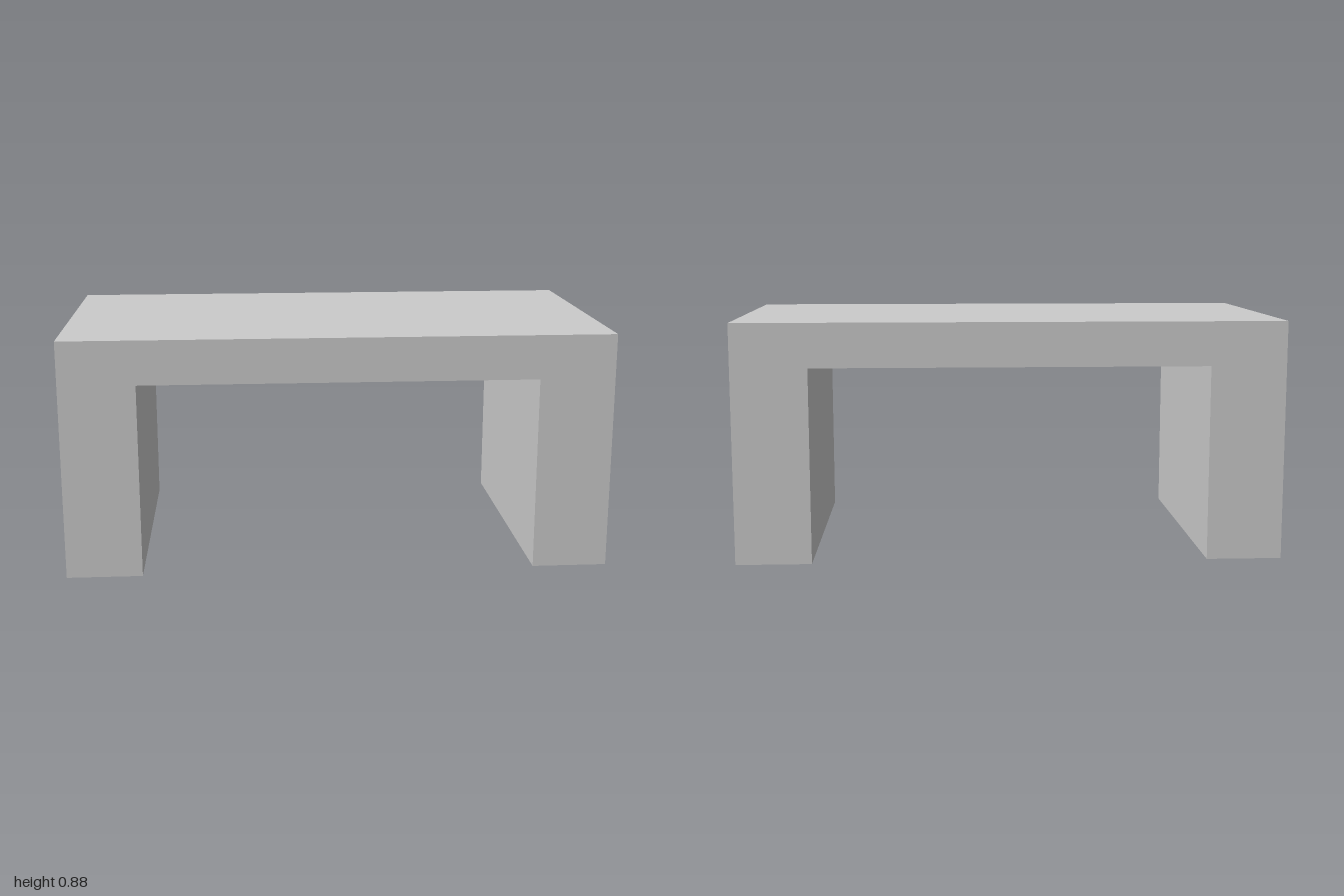
import * as THREE from 'three';

const WIDTH = 2, HEIGHT = 0.877, DEPTH = 1.048;
const INNER_HALF = 0.724, INNER_HEIGHT = 0.715;

export function createModel() {
  const group = new THREE.Group();
  group.name = 'bench';

  // One continuous arch profile: two thick legs joined by a slab
  const h = WIDTH / 2;
  const profile = new THREE.Shape([
    [-h, 0], [-INNER_HALF, 0], [-INNER_HALF, INNER_HEIGHT], [INNER_HALF, INNER_HEIGHT],
    [INNER_HALF, 0], [h, 0], [h, HEIGHT], [-h, HEIGHT],
  ].map(([x, y]) => new THREE.Vector2(x, y)));

  const geometry = new THREE.ExtrudeGeometry(profile, { depth: DEPTH, bevelEnabled: false });
  geometry.translate(0, 0, -DEPTH / 2);

  const body = new THREE.Mesh(geometry, new THREE.MeshStandardMaterial({ color: 0xcccccc }));
  body.name = 'seatAndLegs';
  group.add(body);
  return group;
}
